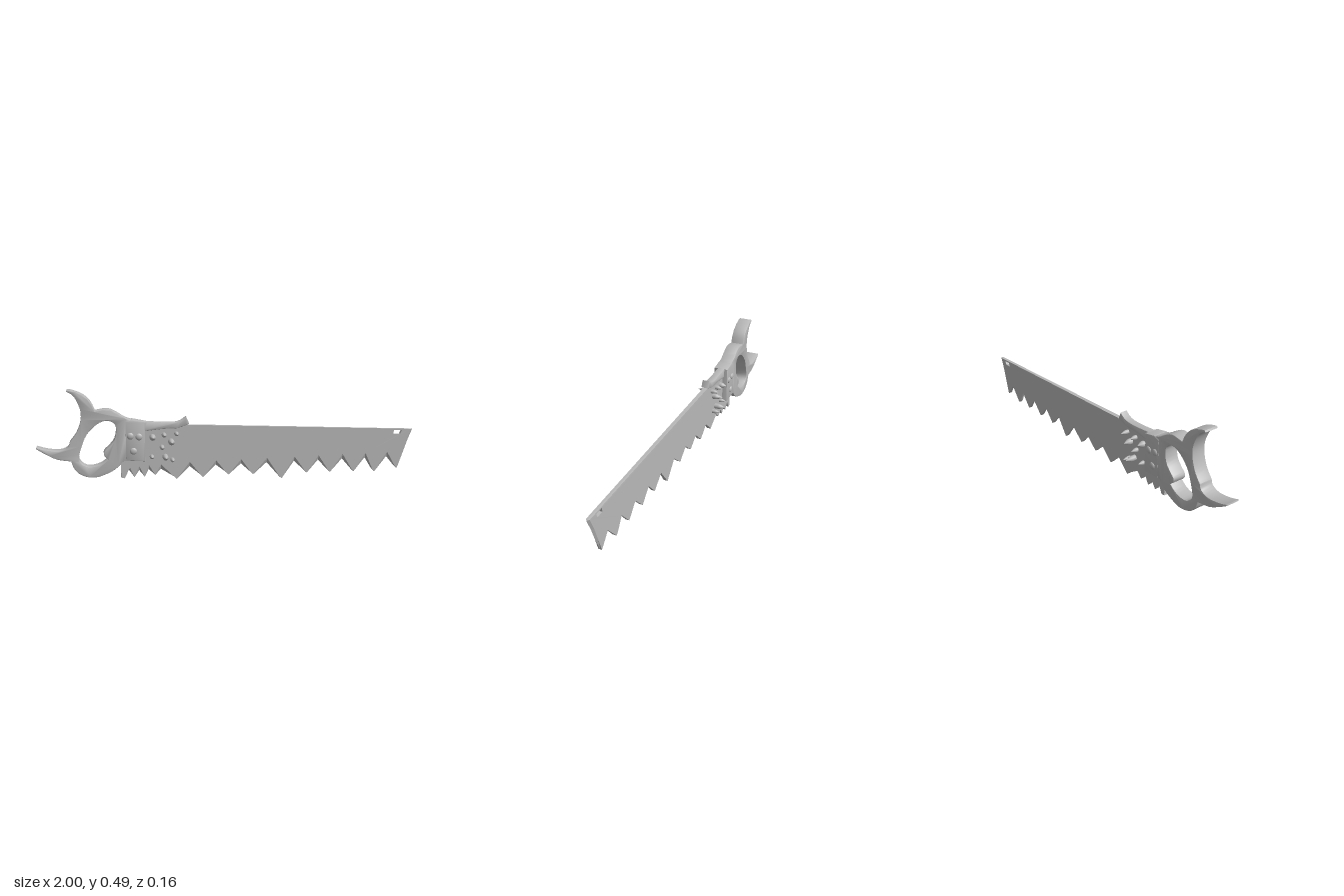
import * as THREE from 'three';
import { toCreasedNormals } from 'three/addons/utils/BufferGeometryUtils.js';

const steel = new THREE.MeshStandardMaterial({ color: 0xb8b8b8 });
steel.name = 'grey steel';

const v = (p) => new THREE.Vector2(p[0], p[1]);

// The whole saw drifts slightly forward toward the tip
const leanZ = (x) => 0.026 + (x - 1) * 0.0234;

// Smooth curves through each run of points, joined at sharp corners
function curvedOutline(runs) {
  const pts = [];
  for (const run of runs) {
    if (run.length === 2) pts.push(v(run[0]));
    else pts.push(...new THREE.SplineCurve(run.map(v)).getPoints((run.length - 1) * 3).slice(0, -1));
  }
  return pts;
}

function slab(name, points, holes, thickness, bevel) {
  const shape = new THREE.Shape(points);
  for (const h of holes) shape.holes.push(new THREE.Path(h));
  const geo = new THREE.ExtrudeGeometry(shape, {
    depth: thickness - 2 * bevel, bevelEnabled: true, bevelSegments: 2,
    bevelSize: bevel, bevelOffset: -bevel, bevelThickness: bevel,
  });
  const pos = geo.attributes.position;
  for (let i = 0; i < pos.count; i++) {
    pos.setZ(i, pos.getZ(i) - thickness / 2 + bevel + leanZ(pos.getX(i)));
  }
  const mesh = new THREE.Mesh(toCreasedNormals(geo, 0.6), steel);
  mesh.name = name;
  return mesh;
}

// Serrated blade, thinning toward the tip
function makeBlade() {
  const edge = [
    [-0.58, 0.12], [-0.58, 0.03], [-0.562, 0.028], [-0.54, 0.07], [-0.513, 0.032], [-0.487, 0.066],
    [-0.46, 0.032], [-0.438, 0.07], [-0.406, 0.04], [-0.375, 0.07],
  ];
  const tips = [[-0.294, 0.015], [-0.155, 0.02], [-0.02, 0.03], [0.112, 0.027], [0.267, 0],
    [0.406, 0.027], [0.535, 0.027], [0.668, 0.027], [0.786, 0.023], [0.914, 0.037]];
  const valleys = [-0.225, -0.086, 0.048, 0.187, 0.337, 0.47, 0.604, 0.733, 0.856];
  tips.forEach((tip, i) => {
    edge.push([tip[0] - 0.012, tip[1] + 0.012], tip);
    if (i < valleys.length) edge.push([valleys[i], 0.08 + i * 0.003]);
  });
  edge.push([0.95, 0.122], [0.972, 0.185], [1, 0.252], [-0.24, 0.3], [-0.5, 0.3], [-0.5, 0.12]);

  const shape = new THREE.Shape(edge.map(v));
  shape.holes.push(new THREE.Path([[0.888, 0.226], [0.892, 0.248], [0.938, 0.246], [0.928, 0.226]].map(v)));
  const geo = new THREE.ExtrudeGeometry(shape, { depth: 2, steps: 2, bevelEnabled: false });

  // Gullets are ground on the front face only, the end edge on both
  const pos = geo.attributes.position;
  for (let i = 0; i < pos.count; i++) {
    let x = pos.getX(i), y = pos.getY(i);
    const side = Math.round(pos.getZ(i)) - 1;
    const half = 0.0125 - 0.0035 * (x + 0.58) / 1.58;
    const z = leanZ(x) + side * half;
    if (side === 1 && y > 0.055 && y < 0.115 && x > -0.57) y += 0.025;
    if (side !== 0 && x > 0.945) x -= 0.012;
    pos.setXYZ(i, x, y, z);
  }
  geo.computeVertexNormals();
  const mesh = new THREE.Mesh(geo, steel);
  mesh.name = 'blade';
  return mesh;
}

function makeHandle() {
  // Clockwise outline with a counter-clockwise grip hole
  const outline = curvedOutline([
    [[-0.845, 0.482], [-0.84, 0.49]],
    [[-0.84, 0.49], [-0.815, 0.486], [-0.765, 0.465], [-0.727, 0.428], [-0.706, 0.382]],
    [[-0.706, 0.382], [-0.642, 0.39], [-0.594, 0.369], [-0.551, 0.342], [-0.5, 0.328]],
    [[-0.5, 0.328], [-0.5, 0.122]],
    [[-0.5, 0.122], [-0.567, 0.123]],
    [[-0.567, 0.123], [-0.61, 0.08], [-0.674, 0.05], [-0.722, 0.041], [-0.775, 0.053],
      [-0.813, 0.086], [-0.829, 0.128]],
    [[-0.829, 0.128], [-0.898, 0.139], [-0.952, 0.166], [-1, 0.196]],
    [[-1, 0.196], [-0.998, 0.203]],
    [[-0.998, 0.203], [-0.952, 0.189], [-0.888, 0.182], [-0.845, 0.198], [-0.834, 0.225]],
    [[-0.834, 0.225], [-0.802, 0.267], [-0.781, 0.32], [-0.775, 0.374], [-0.791, 0.428],
      [-0.815, 0.465], [-0.845, 0.482]],
  ]);
  const hole = curvedOutline([
    [[-0.645, 0.134], [-0.662, 0.15], [-0.664, 0.173], [-0.637, 0.2], [-0.61, 0.235], [-0.601, 0.289],
      [-0.615, 0.32], [-0.652, 0.332], [-0.7, 0.312], [-0.749, 0.262], [-0.775, 0.203], [-0.791, 0.144],
      [-0.775, 0.112], [-0.738, 0.096], [-0.684, 0.107], [-0.645, 0.134]],
  ]);
  return slab('handle', outline, [hole], 0.076, 0.004);
}

// Pointed studs driven through the blade: x, y, radius, half length
function makeSpikes() {
  const group = new THREE.Group();
  group.name = 'spikes';
  const spikes = [
    [-0.417, 0.24, 0.016, 0.06], [-0.358, 0.251, 0.012, 0.058], [-0.294, 0.256, 0.011, 0.062],
    [-0.321, 0.214, 0.016, 0.064], [-0.369, 0.187, 0.012, 0.057], [-0.422, 0.139, 0.011, 0.057],
    [-0.353, 0.136, 0.015, 0.078], [-0.316, 0.12, 0.011, 0.064],
  ];
  for (const [x, y, r, len] of spikes) {
    const profile = [[0, -len], [r * 0.8, -len * 0.66], [r, -len * 0.5], [r, len * 0.5],
      [r * 0.8, len * 0.66], [0, len]].map(v);
    const mesh = new THREE.Mesh(new THREE.LatheGeometry(profile, 14), steel);
    mesh.name = 'spike';
    mesh.rotation.x = Math.PI / 2;
    mesh.position.set(x, y, 0);
    group.add(mesh);
  }
  return group;
}

// Domed rivets on both faces of the clamp plate
function makeRivets() {
  const group = new THREE.Group();
  group.name = 'rivets';
  for (const [x, y] of [[-0.531, 0.251], [-0.487, 0.246], [-0.516, 0.173]]) {
    for (const side of [-1, 1]) {
      const mesh = new THREE.Mesh(new THREE.SphereGeometry(0.018, 16, 10), steel);
      mesh.name = 'rivet';
      mesh.scale.z = 0.5;
      mesh.position.set(x, y, leanZ(x) + side * 0.039);
      group.add(mesh);
    }
  }
  return group;
}

export function createModel() {
  const model = new THREE.Group();
  model.name = 'handsaw';

  const plate = [[-0.555, 0.325], [-0.555, 0.125], [-0.457, 0.118], [-0.457, 0.322], [-0.52, 0.335]].map(v);

  // Spine strip that curls up at its front end
  const strip = curvedOutline([
    [[-0.47, 0.27], [-0.36, 0.282], [-0.29, 0.284], [-0.226, 0.306]],
    [[-0.226, 0.306], [-0.242, 0.343]],
    [[-0.242, 0.343], [-0.285, 0.318], [-0.36, 0.315], [-0.47, 0.324]],
    [[-0.47, 0.324], [-0.47, 0.27]],
  ]);

  model.add(
    makeBlade(),
    makeHandle(),
    slab('clampPlate', plate, [], 0.08, 0.005),
    slab('spineGuard', strip, [], 0.042, 0.005),
    makeSpikes(),
    makeRivets(),
  );
  return model;
}
